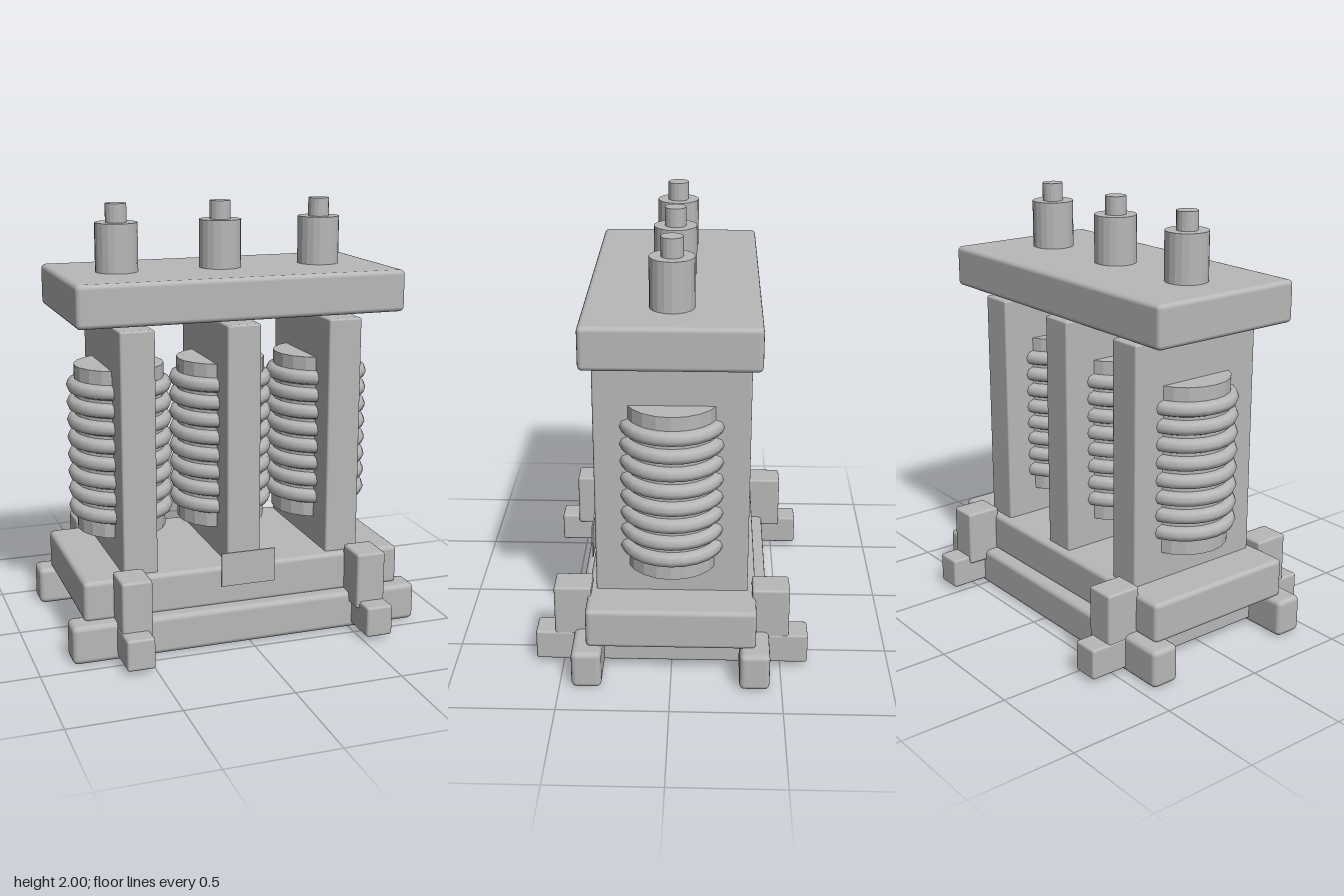
import * as THREE from 'three';
import { RoundedBoxGeometry } from 'three/addons/geometries/RoundedBoxGeometry.js';

const grey = new THREE.MeshStandardMaterial({ color: 0xb8b8b8 });
grey.name = 'grey';

export function createModel() {
  const model = new THREE.Group();
  model.name = 'transformer';

  const add = (name, geometry, x, y, z) => {
    const mesh = new THREE.Mesh(geometry, grey);
    mesh.name = name;
    mesh.position.set(x, y, z);
    model.add(mesh);
    return mesh;
  };
  // Softly bevelled block given by its extents
  const block = (name, [x0, x1], [y0, y1], [z0, z1], r = 0.015) =>
    add(name, new RoundedBoxGeometry(x1 - x0, y1 - y0, z1 - z0, 2, r),
      (x0 + x1) / 2, (y0 + y1) / 2, (z0 + z1) / 2);
  // Faceted upright cylinder between two heights
  const post = (name, r, y0, y1, x, sides) => {
    const g = new THREE.CylinderGeometry(r, r, y1 - y0, sides).toNonIndexed();
    g.computeVertexNormals();
    return add(name, g, x, (y0 + y1) / 2, 0);
  };

  // Lower and upper yokes
  block('lowerYoke', [-0.77, 0.77], [0.17, 0.36], [-0.383, 0.383], 0.022);
  block('upperYoke', [-0.77, 0.77], [1.5, 1.693], [-0.383, 0.383], 0.022);

  // Long base rails, front and back
  for (const s of [-1, 1]) {
    const z = s * 0.378;
    block('baseRail', [-0.838, 0.838], [0, 0.18], [z - 0.068, z + 0.068], 0.025);
  }

  // Cross beams whose ends form the feet, with upright clamps
  for (const side of [-1, 1]) {
    const x = side * 0.573;
    block('crossBeam', [x - 0.064, x + 0.064], [0.02, 0.165], [-0.625, 0.625], 0.012);
    for (const end of [-1, 1]) {
      const c = side * 0.564, z = end * 0.451;
      block('clamp', [c - 0.07, c + 0.07], [0.13, 0.397], [z - 0.085, z + 0.085], 0.012);
    }
  }

  // Three phases: core limb, ribbed winding, bushing and terminal
  const ribGeometry = new THREE.TorusGeometry(0.209, 0.035, 8, 24).rotateX(Math.PI / 2);
  for (const x of [-0.495, 0, 0.492]) {
    block('coreLimb', [x - 0.08, x + 0.08], [0.3, 1.477], [-0.345, 0.345], 0.01);
    post('winding', 0.208, 0.487, 1.272, x, 20);
    for (let i = 0; i < 8; i++) add('windingRib', ribGeometry, x, 0.59 + i * 0.0833, 0);
    post('bushing', 0.098, 1.68, 1.915, x, 20);
    post('terminal', 0.049, 1.9, 2, x, 16);
  }

  // Blank rating plate on the front
  add('ratingPlate', new THREE.BoxGeometry(0.26, 0.16, 0.007), 0, 0.353, 0.404);

  return model;
}
